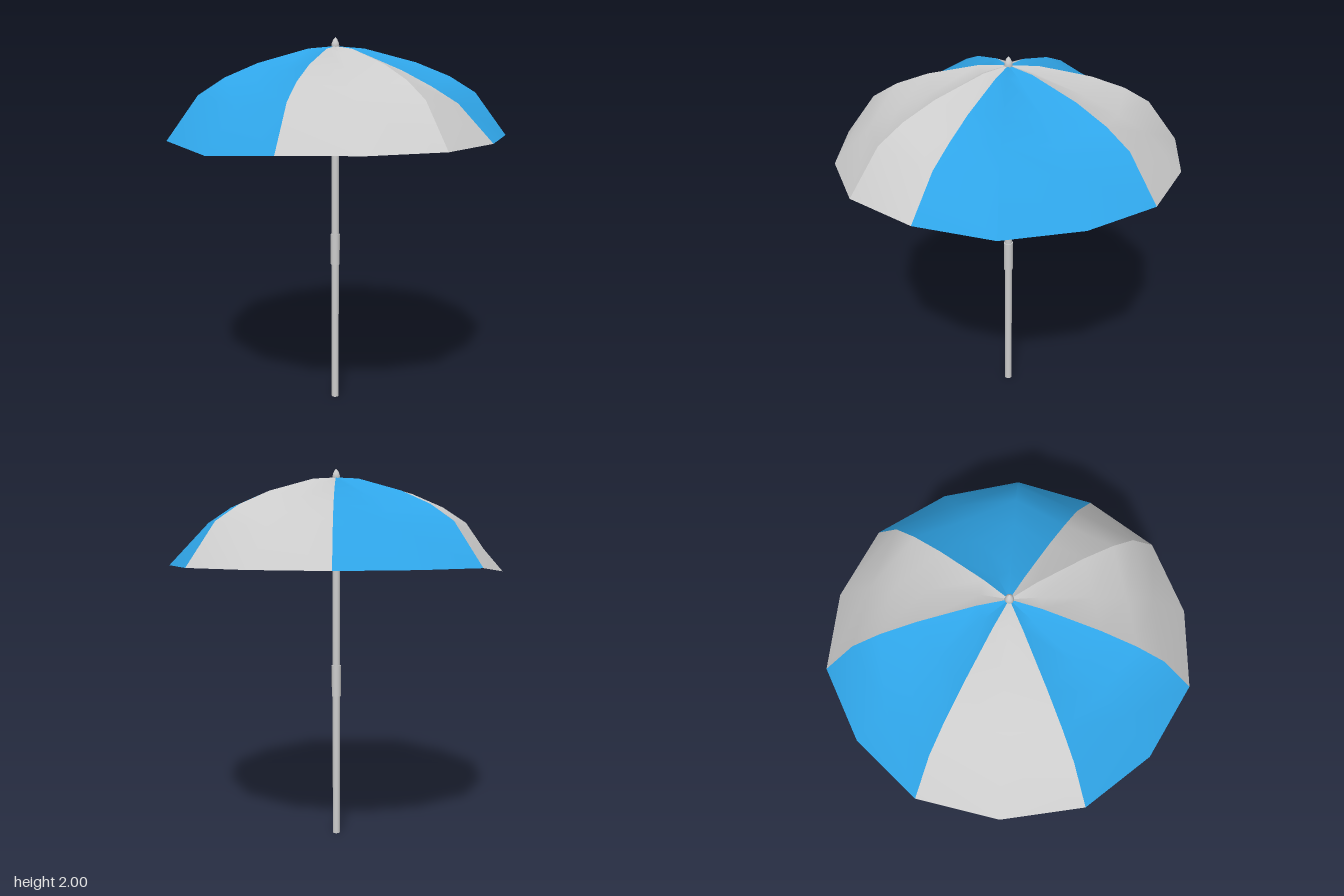
import * as THREE from 'three';

const AXIS_X = 0.012; // the pole stands slightly off centre
const PANELS = 7;

// [radius, height] from crown to rim, along a rib and along the sagging middle of a panel
const RIB = [[0.001, 1.955], [0.15, 1.943], [0.42, 1.873], [0.595, 1.803], [0.73, 1.72], [0.895, 1.5]];
const MIDDLE = [[0.001, 1.955], [0.135, 1.925], [0.385, 1.838], [0.55, 1.762], [0.69, 1.685], [0.877, 1.5]];

const material = (color) => new THREE.MeshStandardMaterial({ color });

function addMesh(parent, name, geometry, mat) {
  const mesh = new THREE.Mesh(geometry, mat);
  mesh.name = name;
  parent.add(mesh);
  return mesh;
}

// One gore of the canopy: rib, middle, rib; smooth inside, creased at the ribs
function panelGeometry(startAngle, rimDips) {
  const step = Math.PI / PANELS;
  const positions = [];
  const index = [];
  const rings = RIB.length;
  for (let column = 0; column < 3; column++) {
    const isMiddle = column === 1;
    const angle = startAngle + column * step;
    (isMiddle ? MIDDLE : RIB).forEach(([r, y], ring) => {
      const drop = isMiddle && rimDips && ring === rings - 1 ? 0.03 : 0;
      positions.push(AXIS_X + r * Math.cos(angle), y - drop, -r * Math.sin(angle));
    });
  }
  for (let column = 0; column < 2; column++) {
    for (let ring = 0; ring < rings - 1; ring++) {
      const a = column * rings + ring;
      const b = a + rings;
      index.push(a, a + 1, b + 1, a, b + 1, b);
    }
  }
  const geometry = new THREE.BufferGeometry();
  geometry.setAttribute('position', new THREE.Float32BufferAttribute(positions, 3));
  geometry.setIndex(index);
  geometry.computeVertexNormals();
  // each half of the gore can carry its own cloth
  geometry.addGroup(0, index.length / 2, 0);
  geometry.addGroup(index.length / 2, index.length / 2, 1);
  return geometry;
}

// Turned part around the pole axis
function addTurned(parent, name, profile, sides, mat) {
  const points = profile.map(([r, y]) => new THREE.Vector2(r, y));
  const mesh = addMesh(parent, name, new THREE.LatheGeometry(points, sides), mat);
  mesh.position.x = AXIS_X;
  return mesh;
}

function addCylinder(parent, name, radius, bottom, top, mat) {
  const geometry = new THREE.CylinderGeometry(radius, radius, top - bottom, 20);
  const mesh = addMesh(parent, name, geometry, mat);
  mesh.position.set(AXIS_X, (top + bottom) / 2, 0);
  return mesh;
}

export function createModel() {
  const model = new THREE.Group();
  model.name = 'parasol';

  const metal = material(0xcccccc);
  const plastic = material(0x220088);
  const grey = material(0xcccccc);
  const blue = material(0x2fa5e8);
  grey.side = blue.side = THREE.DoubleSide;

  // Canopy, gores counted round from the back left rib
  const canopy = new THREE.Group();
  canopy.name = 'canopy';
  model.add(canopy);
  const cloth = [
    [grey, grey], [blue, blue], [grey, grey], [blue, blue],
    [grey, grey], [grey, blue], [blue, blue],
  ];
  cloth.forEach((halves, i) => {
    const start = ((i + 0.5) * 2 * Math.PI) / PANELS;
    addMesh(canopy, 'canopyPanel' + (i + 1), panelGeometry(start, i === 2 || i === 3), halves);
  });

  // Pole with joint sleeve
  addCylinder(model, 'pole', 0.02, 0, 1.95, metal);
  addCylinder(model, 'jointSleeve', 0.025, 0.78, 0.95, metal);

  // Sliding runner under the canopy
  addCylinder(model, 'runnerSleeve', 0.027, 1.51, 1.63, plastic);
  addCylinder(model, 'runnerFlange', 0.053, 1.625, 1.66, plastic);

  // Pointed finial on the crown
  addTurned(model, 'finial',
    [[0.017, 1.94], [0.021, 1.957], [0.018, 1.972], [0.01, 1.99], [0.0, 2.0]], 16, metal);

  return model;
}
